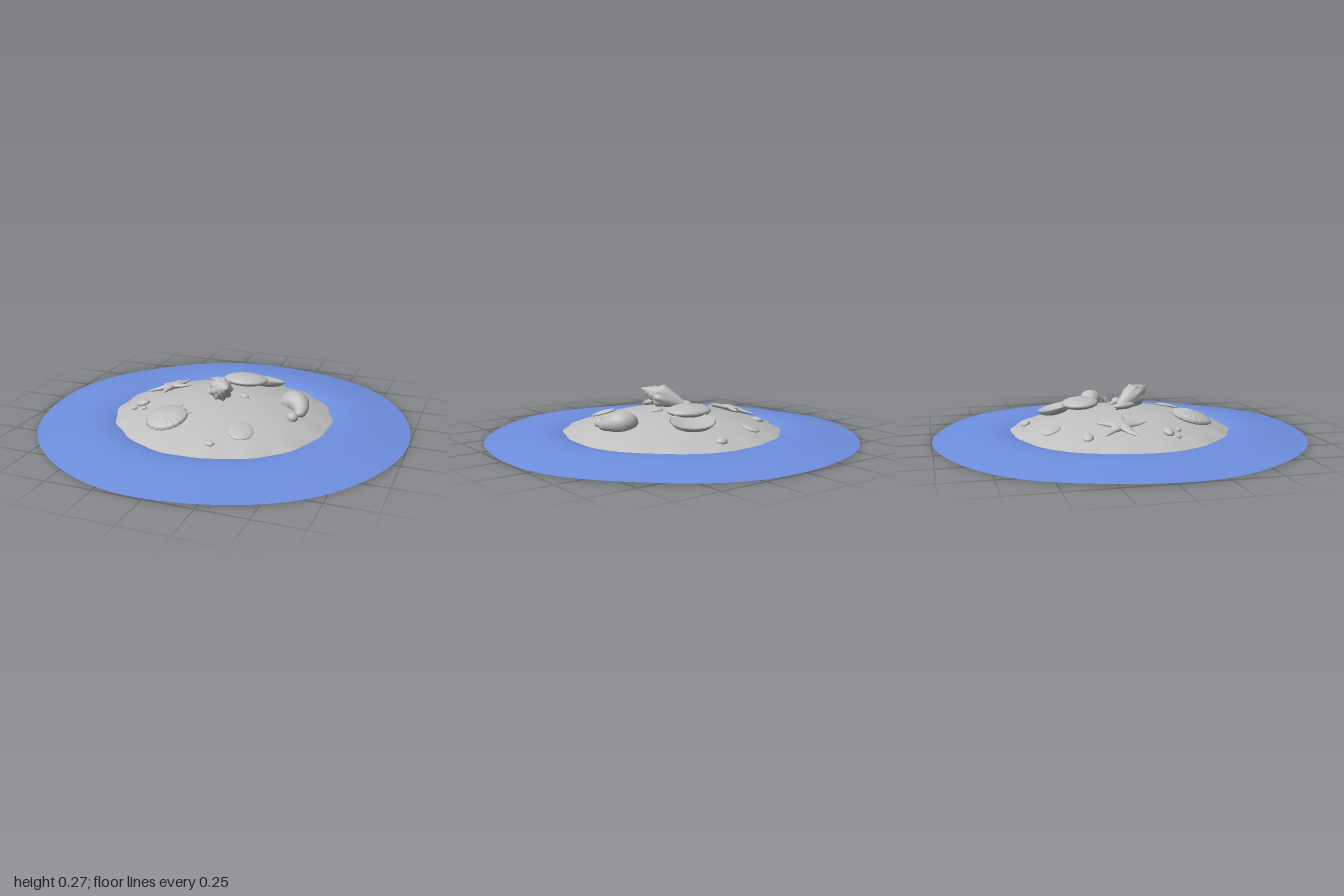
import * as THREE from 'three';
import { mergeVertices } from 'three/addons/utils/BufferGeometryUtils.js';

const water = new THREE.MeshStandardMaterial({ name: 'sea blue', color: 0x6f90e0, side: THREE.DoubleSide });
const sand = new THREE.MeshStandardMaterial({ name: 'sand grey', color: 0xc0c0c0, side: THREE.DoubleSide });
const UP = new THREE.Vector3(0, 1, 0);

// Height of the sand mound
const ground = (x, z) => 0.155 - 0.35 * (x * x + z * z);

function add(parent, name, geometry, material = sand) {
  const mesh = new THREE.Mesh(geometry, material);
  mesh.name = name;
  parent.add(mesh);
  return mesh;
}

// Surface of revolution whose vertices are moved by a rule(p, angle, radius)
function rippled(points, segments, rule) {
  const lathe = new THREE.LatheGeometry(points.map(([r, y]) => new THREE.Vector2(r, y)), segments);
  lathe.deleteAttribute('uv');
  lathe.deleteAttribute('normal');
  const g = mergeVertices(lathe, 1e-5);
  const pos = g.attributes.position;
  const p = new THREE.Vector3();
  for (let i = 0; i < pos.count; i++) {
    p.fromBufferAttribute(pos, i);
    rule(p, Math.atan2(p.x, p.z), Math.hypot(p.x, p.z));
    pos.setXYZ(i, p.x, p.y, p.z);
  }
  g.computeVertexNormals();
  return g;
}

// Tube along a curve with a list of radii spread evenly over its length
function sweep(points, radii, squash = 1, steps = 24, sides = 14) {
  const curve = new THREE.CatmullRomCurve3(points.map((p) => new THREE.Vector3(...p)));
  const g = new THREE.TubeGeometry(curve, steps, 1, sides);
  const pos = g.attributes.position;
  const p = new THREE.Vector3();
  for (let i = 0; i <= steps; i++) {
    const c = curve.getPointAt(i / steps);
    const t = (i / steps) * (radii.length - 1);
    const k = Math.min(Math.floor(t), radii.length - 2);
    const r = THREE.MathUtils.lerp(radii[k], radii[k + 1], t - k);
    for (let j = 0; j <= sides; j++) {
      const n = i * (sides + 1) + j;
      p.fromBufferAttribute(pos, n).sub(c).multiplyScalar(r);
      pos.setXYZ(n, c.x + p.x, c.y + p.y * squash, c.z + p.z);
    }
  }
  g.computeVertexNormals();
  return g;
}

// Group resting on the mound, leaning with its slope
function spot(parent, name, x, z, lift = 0, spin = 0) {
  const g = new THREE.Group();
  g.name = name;
  g.position.set(x, ground(x, z) + lift, z);
  const normal = new THREE.Vector3(0.7 * x, 1, 0.7 * z).normalize();
  g.quaternion.setFromUnitVectors(UP, normal);
  g.rotateY(spin);
  parent.add(g);
  return g;
}

function ellipsoid(parent, name, rx, ry, rz) {
  return add(parent, name, new THREE.SphereGeometry(1, 28, 16).scale(rx, ry, rz));
}

export function createModel() {
  const model = new THREE.Group();
  model.name = 'shellIsland';

  // Sea ring with a low swell
  const seaProfile = [[1, 0.005], [0.93, 0.016], [0.85, 0.031], [0.78, 0.042], [0.71, 0.048],
    [0.65, 0.046], [0.6, 0.037], [0.55, 0.024]];
  add(model, 'sea', rippled(seaProfile, 96, (p, a, r) => {
    p.y += (r > 0.9 ? 0.004 : 0.002) * Math.sin(6 * a);
  }), water);

  // Sand mound with a scalloped shoreline
  const sandProfile = [];
  for (let i = 0; i <= 16; i++) {
    const r = 0.61 * (1 - i / 16);
    sandProfile.push([r, ground(r, 0)]);
  }
  add(model, 'sandMound', rippled(sandProfile, 128, (p, a, r) => {
    const shore = THREE.MathUtils.smoothstep(r, 0.42, 0.61);
    const k = 1 + shore * (0.016 * Math.cos(16 * a - Math.PI) + 0.01 * Math.sin(3 * a) - 0.01);
    p.x *= k;
    p.z *= k;
  }));

  // Starfish
  const star = spot(model, 'starfish', -0.35, -0.085, 0.012);
  for (let i = 0; i < 5; i++) {
    const arm = add(star, 'starfishArm', sweep(
      [[-0.02, 0.004, 0], [0.03, 0.005, 0], [0.09, 0.002, 0.006], [0.145, 0.003, 0.0]],
      [0, 0.034, 0.03, 0.021, 0.016, 0.011, 0], 0.55));
    arm.rotation.y = THREE.MathUtils.degToRad(62 + 72 * i);
  }

  // Spindle shell: canal at the back, spire raised to the front
  const spindle = new THREE.Group();
  spindle.name = 'spindleShell';
  const canal = new THREE.Vector3(-0.085, 0.155, -0.05);
  const apex = new THREE.Vector3(0.085, 0.25, 0.17);
  spindle.position.copy(canal);
  spindle.quaternion.setFromUnitVectors(UP, apex.clone().sub(canal).normalize());
  model.add(spindle);
  const whorls = [[0.001, 0], [0.013, 0.02], [0.028, 0.06], [0.045, 0.11], [0.058, 0.155], [0.06, 0.18],
    [0.052, 0.195], [0.04, 0.203], [0.042, 0.22], [0.036, 0.232], [0.026, 0.237], [0.027, 0.25],
    [0.021, 0.26], [0.013, 0.264], [0.013, 0.275], [0.001, 0.295]];
  add(spindle, 'spindleWhorls', rippled(whorls, 40, (p, a) => {
    const knob = 1 + 0.1 * Math.exp(-(((p.y - 0.18) / 0.025) ** 2)) * Math.cos(9 * a);
    p.x *= knob;
    p.z *= knob;
  }));
  const lip = ellipsoid(model, 'spindleLip', 0.035, 0.02, 0.07);
  lip.position.set(-0.06, 0.172, 0.01);
  lip.rotation.y = 0.5;

  // Curled moon snail shell
  add(model, 'snailShell', sweep(
    [[0.29, 0.12, -0.065], [0.325, 0.125, -0.08], [0.37, 0.13, -0.085], [0.41, 0.125, -0.055],
      [0.43, 0.11, 0.0], [0.415, 0.1, 0.045]],
    [0, 0.042, 0.06, 0.065, 0.058, 0.045, 0.037, 0.029, 0], 0.9, 40, 20));

  // Pair of clam shells
  const clam = ellipsoid(model, 'clamShell', 0.125, 0.03, 0.098);
  clam.position.set(0.05, 0.175, -0.212);
  clam.rotation.x = -0.06;
  const openClam = spot(model, 'openClam', 0.12, -0.33, 0.018, -0.2);
  const bowl = [[0.001, -0.022], [0.06, -0.018], [0.1, -0.004], [0.12, 0.016], [0.112, 0.022],
    [0.09, 0.012], [0.05, 0.006], [0.001, 0.004]];
  add(openClam, 'openClamBowl', rippled(bowl, 40, (p) => { p.z *= 0.85; }));

  // Scallop with two ears at its hinge
  const scallop = spot(model, 'scallop', -0.18, 0.345, 0.012, -0.7);
  add(scallop, 'scallopFan', rippled(
    [[0.001, -0.025], [0.06, -0.02], [0.1, -0.007], [0.11, 0.002], [0.1, 0.015], [0.06, 0.028], [0.001, 0.033]],
    72, (p, a, r) => { if (r > 0.05) p.y += 0.0015 * Math.cos(18 * a); }));
  for (const side of [-1, 1]) {
    const ear = add(scallop, 'scallopEar', new THREE.ConeGeometry(0.026, 0.06, 12).scale(1, 1, 0.45));
    ear.rotation.set(-Math.PI / 2, 0, -side * 0.4);
    ear.position.set(side * 0.042, 0.004, -0.098);
  }

  // Pebbles and small shells: x, z, radii, lift, spin
  const pebbles = [
    [0.22, 0.34, 0.065, 0.014, 0.072, 0.004, 0.3],
    [-0.2, -0.41, 0.042, 0.012, 0.05, 0.002, 0.3],
    [0.075, -0.505, 0.03, 0.018, 0.025, 0.004, 0],
    [-0.39, -0.26, 0.034, 0.016, 0.028, 0.004, 0],
    [0.11, -0.012, 0.034, 0.012, 0.02, 0.003, -0.5],
    [0.41, 0.08, 0.03, 0.026, 0.03, 0.012, 0],
    [0.11, 0.48, 0.024, 0.013, 0.019, 0.004, 0],
    [-0.415, 0.145, 0.036, 0.018, 0.027, 0.008, 0.2],
    [-0.378, 0.208, 0.015, 0.012, 0.015, 0.004, 0],
    [-0.447, 0.188, 0.015, 0.012, 0.013, 0.004, 0],
  ];
  for (const [x, z, rx, ry, rz, lift, spin] of pebbles) {
    ellipsoid(spot(model, 'pebbleSpot', x, z, lift, spin), 'pebble', rx, ry, rz);
  }

  return model;
}
